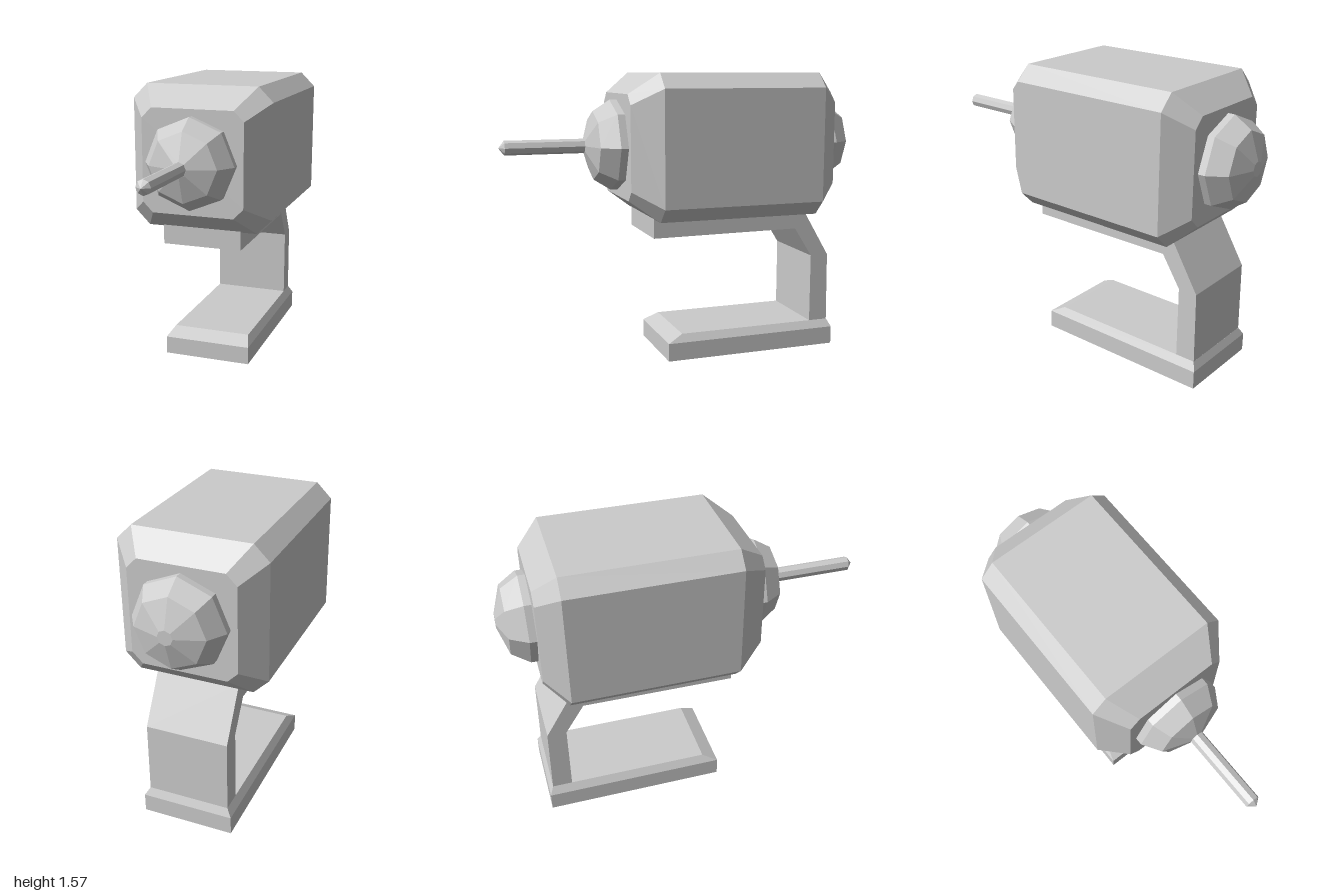
import * as THREE from 'three';

const material = new THREE.MeshStandardMaterial({ color: 0xcccccc, flatShading: true });
const AXIS_Y = 1.18; // height of the body's long axis

function addMesh(group, name, geometry) {
  const mesh = new THREE.Mesh(geometry, material);
  mesh.name = name;
  group.add(mesh);
  return mesh;
}

// Skin counter-clockwise rings of [x, y] stacked along +z, with both ends capped
function loft(rings) {
  const n = rings[0].points.length;
  const positions = rings.flatMap(r => r.points.flatMap(([x, y]) => [x, y, r.z]));
  const index = [];
  for (let j = 0; j < rings.length - 1; j++) {
    for (let i = 0; i < n; i++) {
      const a = j * n + i, b = j * n + (i + 1) % n;
      index.push(a, b, b + n, a, b + n, a + n);
    }
  }
  const last = (rings.length - 1) * n;
  for (let i = 1; i < n - 1; i++) {
    index.push(0, i + 1, i, last, last + i, last + i + 1);
  }
  const geometry = new THREE.BufferGeometry();
  geometry.setAttribute('position', new THREE.Float32BufferAttribute(positions, 3));
  geometry.setIndex(index);
  const flat = geometry.toNonIndexed();
  flat.computeVertexNormals();
  return flat;
}

// Square with cut corners: h = half width, f = half length of each flat side
const cutSquare = (h, f) => [
  [h, -f], [h, f], [f, h], [-f, h], [-h, f], [-h, -f], [-f, -h], [f, -h],
];

const rectangle = (x, y0, y1) => [[x, y0], [x, y1], [-x, y1], [-x, y0]];

// Eight-sided turned part along z; profile is [radius, distance along the axis]
function turned(profile, direction) {
  const points = profile.map(([r, d]) => new THREE.Vector2(r, d));
  return new THREE.LatheGeometry(points, 8).rotateX(direction * Math.PI / 2);
}

export function createModel() {
  const model = new THREE.Group();
  model.name = 'mountedDevice';

  // Chamfered housing
  addMesh(model, 'housing', loft([
    { z: -0.82, points: cutSquare(0.28, 0.225) },
    { z: -0.70, points: cutSquare(0.39, 0.31) },
    { z: 0.21, points: cutSquare(0.39, 0.31) },
    { z: 0.36, points: cutSquare(0.28, 0.225) },
  ])).position.y = AXIS_Y;

  // Faceted domes at both ends
  addMesh(model, 'frontDome', turned(
    [[0.245, 0.34], [0.245, 0.4], [0.185, 0.495], [0.04, 0.545], [0, 0.545]], 1,
  )).position.y = AXIS_Y;
  addMesh(model, 'rearDome', turned(
    [[0.245, 0.8], [0.245, 0.858], [0.185, 0.952], [0.04, 1], [0, 1]], -1,
  )).position.y = AXIS_Y;

  // Thin rod with a pointed tip
  addMesh(model, 'frontRod', turned(
    [[0.039, 0.5], [0.039, 0.97], [0, 1]], 1,
  )).position.y = AXIS_Y;

  // Bent bracket, drawn as a [z, y] side profile
  const side = [
    [0.22, 0.8], [0.22, 0.69], [-0.62, 0.695], [-0.725, 0.53],
    [-0.725, 0.13], [-0.835, 0.13], [-0.83, 0.53], [-0.67, 0.8],
  ];
  const shape = new THREE.Shape(side.map(([z, y]) => new THREE.Vector2(z, y)));
  const width = 0.444;
  addMesh(model, 'bracket', new THREE.ExtrudeGeometry(shape, { depth: width, bevelEnabled: false })
    .translate(0, 0, -width / 2)
    .rotateY(-Math.PI / 2));

  // Foot plate with bevelled upper edges
  addMesh(model, 'footPlate', loft([
    { z: 0, points: rectangle(0.248, -0.145, 0.855) },
    { z: 0.1, points: rectangle(0.248, -0.145, 0.855) },
    { z: 0.143, points: rectangle(0.222, -0.06, 0.835) },
  ]).rotateX(-Math.PI / 2));

  return model;
}
